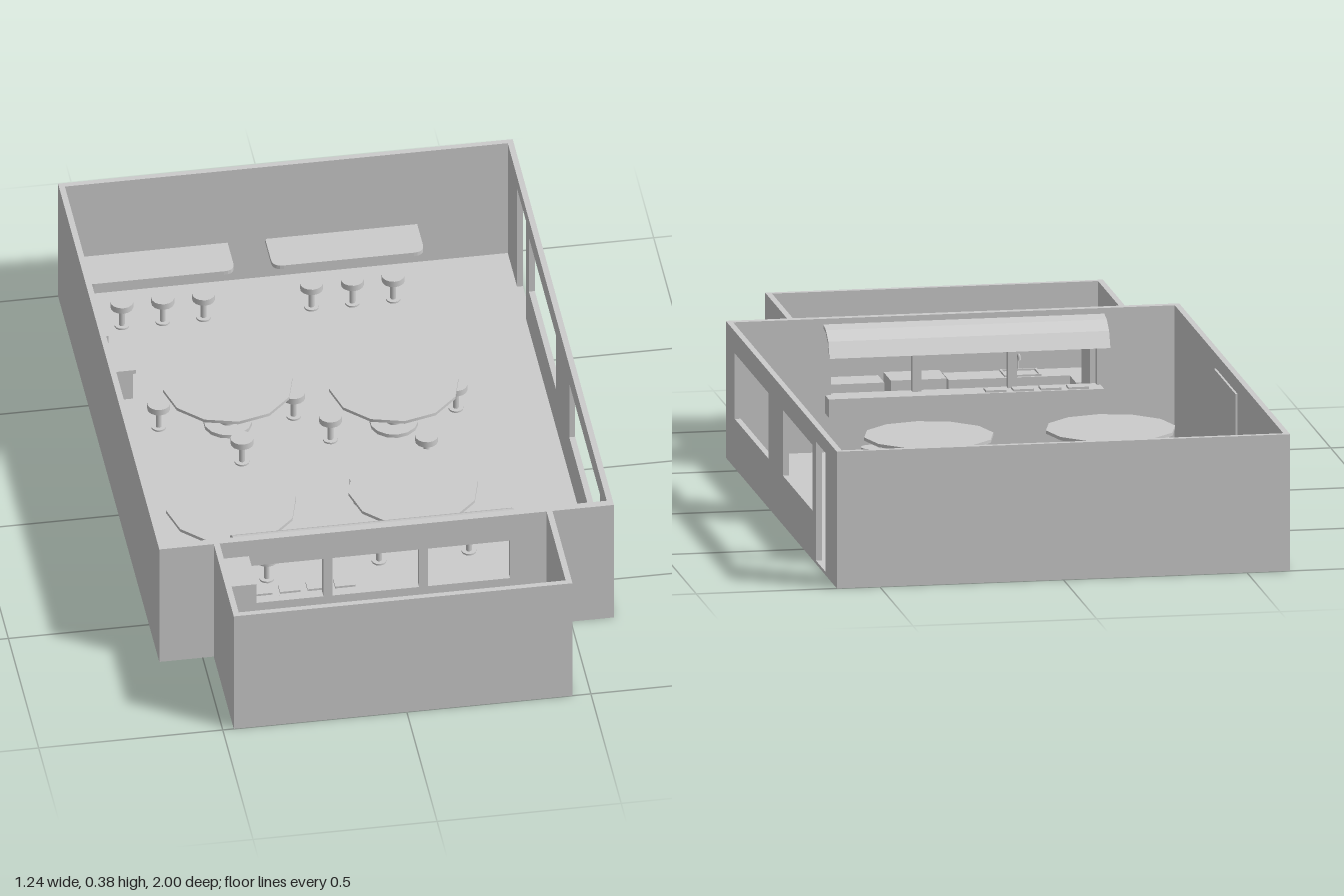
import * as THREE from 'three';

const grey = new THREE.MeshStandardMaterial({ color: 0xcccccc, side: THREE.DoubleSide });
const H = 0.375; // wall height
const T = 0.016; // wall thickness

export function createModel() {
  const model = new THREE.Group();

  function add(name, geometry, parent = model) {
    const mesh = new THREE.Mesh(geometry, grey);
    mesh.name = name;
    parent.add(mesh);
    return mesh;
  }
  // Box given by its limits on each axis
  function box(name, x0, x1, y0, y1, z0, z1, parent = model) {
    const mesh = add(name, new THREE.BoxGeometry(x1 - x0, y1 - y0, z1 - z0), parent);
    mesh.position.set((x0 + x1) / 2, (y0 + y1) / 2, (z0 + z1) / 2);
    return mesh;
  }
  function disc(name, r, y0, y1, sides, parent) {
    const mesh = add(name, new THREE.CylinderGeometry(r, r, y1 - y0, sides).toNonIndexed(), parent);
    mesh.position.y = (y0 + y1) / 2;
    return mesh;
  }
  function polygon(points) {
    return new THREE.Shape(points.map(([x, y]) => new THREE.Vector2(x, y)));
  }
  function rect(u0, u1, v0, v1) {
    return [[u0, v0], [u1, v0], [u1, v1], [u0, v1]];
  }
  // Wall panel with rectangular openings
  function panel(u0, u1, depth, openings) {
    const shape = polygon(rect(u0, u1, 0, H));
    openings.forEach((o) => shape.holes.push(polygon(rect(...o))));
    return new THREE.ExtrudeGeometry(shape, { depth, bevelEnabled: false });
  }

  // Dining room shell
  box('diningFloor', -0.61, 0.61, 0.004, 0.009, -0.99, 0.66);
  box('backWall', -0.618, 0.617, 0, H, -1, -1 + T);
  box('rightWall', -0.618, -0.618 + T, 0, H, -1 + T, 0.67);
  const windowWall = add('windowWall', panel(-1 + T, 0.67, T, [
    [0.03, 0.535, 0.135, 0.315],
    [-0.635, -0.19, 0.135, 0.315],
    [-0.83, -0.685, 0.009, 0.335],
  ]));
  windowWall.rotation.y = -Math.PI / 2;
  windowWall.position.x = 0.617;
  const servingWall = add('servingWall', panel(-0.602, 0.601, 0.022, [[-0.39, 0.335, 0.165, 0.29]]));
  servingWall.position.z = 0.648;

  // Kitchen shell
  box('kitchenFloor', -0.46, 0.44, 0.004, 0.009, 0.67, 0.99);
  box('kitchenFrontWall', -0.47, 0.45, 0, H, 1 - T, 1);
  box('kitchenRightWall', -0.47, -0.47 + T, 0, H, 0.67, 1 - T);
  box('kitchenLeftWall', 0.45 - T, 0.45, 0, H, 0.67, 1 - T);

  // Serving hatch: shelf, posts, trays and curved awning
  box('servingShelf', -0.4, 0.35, 0.115, 0.165, 0.595, 0.648);
  for (const x of [-0.16, 0.1]) box('hatchPost', x - 0.012, x + 0.012, 0.165, 0.29, 0.648, 0.67);
  for (let i = 0; i < 4; i++) {
    const x = -0.36 + i * 0.075;
    box('tray', x, x + 0.055, 0.165, 0.171, 0.603, 0.64);
  }
  const awningShape = polygon([
    [-0.65, 0.36], [-0.61, 0.352], [-0.575, 0.328], [-0.555, 0.285], [-0.562, 0.285],
    [-0.58, 0.322], [-0.612, 0.343], [-0.65, 0.35],
  ]);
  const awning = add('awning', new THREE.ExtrudeGeometry(awningShape, { depth: 0.765, bevelEnabled: false }));
  awning.rotation.y = Math.PI / 2;
  awning.position.x = -0.41;

  // Stools
  function stool(x, z) {
    const group = new THREE.Group();
    group.name = 'stool';
    group.position.set(x, 0, z);
    disc('stoolSeat', 0.031, 0.072, 0.09, 14, group);
    disc('stoolStem', 0.008, 0.012, 0.072, 8, group);
    disc('stoolBase', 0.02, 0.008, 0.014, 12, group);
    model.add(group);
  }

  // Round tables, each with four stools
  const tables = [
    [-0.265, -0.345, [[-0.28, -0.535], [-0.45, -0.36], [-0.085, -0.35], [-0.255, -0.17]]],
    [0.175, -0.275, [[0.115, -0.445], [0.35, -0.315], [-0.005, -0.23], [0.235, -0.1]]],
    [-0.345, 0.195, [[-0.42, 0.025], [-0.185, 0.105], [-0.505, 0.28], [-0.275, 0.36]]],
    [0.15, 0.195, [[0.03, 0.06], [0.275, 0.06], [0.035, 0.33], [0.28, 0.325]]],
  ];
  for (const [x, z, seats] of tables) {
    const group = new THREE.Group();
    group.name = 'table';
    group.position.set(x, 0, z);
    disc('tableTop', 0.176, 0.137, 0.146, 12, group);
    disc('tableColumn', 0.022, 0.018, 0.137, 12, group);
    disc('tableBase', 0.065, 0.008, 0.02, 14, group);
    model.add(group);
    seats.forEach(([sx, sz]) => stool(sx, sz));
  }

  // Wall counters with rounded front corners, brackets and stools
  for (const x0 of [-0.573, -0.058]) {
    const w = 0.413, d = 0.13, r = 0.03;
    const top = new THREE.Shape();
    top.moveTo(0, 0);
    top.lineTo(w, 0);
    top.lineTo(w, d - r);
    top.quadraticCurveTo(w, d, w - r, d);
    top.lineTo(r, d);
    top.quadraticCurveTo(0, d, 0, d - r);
    const counter = add('wallCounter', new THREE.ExtrudeGeometry(top, { depth: 0.012, bevelEnabled: false, curveSegments: 5 }));
    counter.rotation.x = Math.PI / 2;
    counter.position.set(x0, 0.135, -0.988);

    const bracketShape = polygon([[0.985, 0.123], [0.885, 0.123], [0.885, 0.115], [0.975, 0.04], [0.985, 0.04]]);
    for (const dx of [0.035, w - 0.047]) {
      const bracket = add('counterBracket', new THREE.ExtrudeGeometry(bracketShape, { depth: 0.012, bevelEnabled: false }));
      bracket.rotation.y = Math.PI / 2;
      bracket.position.x = x0 + dx;
    }
    for (let i = 0; i < 3; i++) stool(x0 + 0.1 + i * 0.111, -0.828);
  }

  // Side desk with a till, and a framed board on the wall
  box('deskTop', -0.602, -0.49, 0.095, 0.107, -0.67, -0.495);
  for (const z of [-0.665, -0.51]) box('deskSide', -0.602, -0.497, 0.009, 0.095, z, z + 0.01);
  box('deskBack', -0.602, -0.592, 0.03, 0.095, -0.655, -0.51);
  box('till', -0.602, -0.553, 0.107, 0.177, -0.655, -0.565);
  box('wallBoard', -0.602, -0.596, 0.165, 0.335, -0.295, 0.025);

  // Kitchen fittings
  box('fridge', -0.453, -0.375, 0.009, 0.325, 0.672, 0.8);
  box('sideCounter', -0.453, -0.36, 0.009, 0.14, 0.8, 0.89);
  box('sinkCounter', -0.453, -0.03, 0.009, 0.14, 0.89, 0.984);
  for (const x of [-0.285, -0.19]) box('sinkRim', x, x + 0.006, 0.14, 0.145, 0.898, 0.978);
  for (const z of [0.898, 0.972]) box('sinkRim', -0.285, -0.184, 0.14, 0.145, z, z + 0.006);
  const tapPath = new THREE.CatmullRomCurve3([
    new THREE.Vector3(-0.234, 0.14, 0.978),
    new THREE.Vector3(-0.234, 0.18, 0.976),
    new THREE.Vector3(-0.234, 0.185, 0.955),
    new THREE.Vector3(-0.234, 0.172, 0.95),
  ]);
  add('tap', new THREE.TubeGeometry(tapPath, 10, 0.004, 6));
  box('stove', -0.02, 0.132, 0.009, 0.15, 0.865, 0.976);
  box('leftCounter', 0.145, 0.345, 0.009, 0.14, 0.89, 0.984);

  return model;
}
